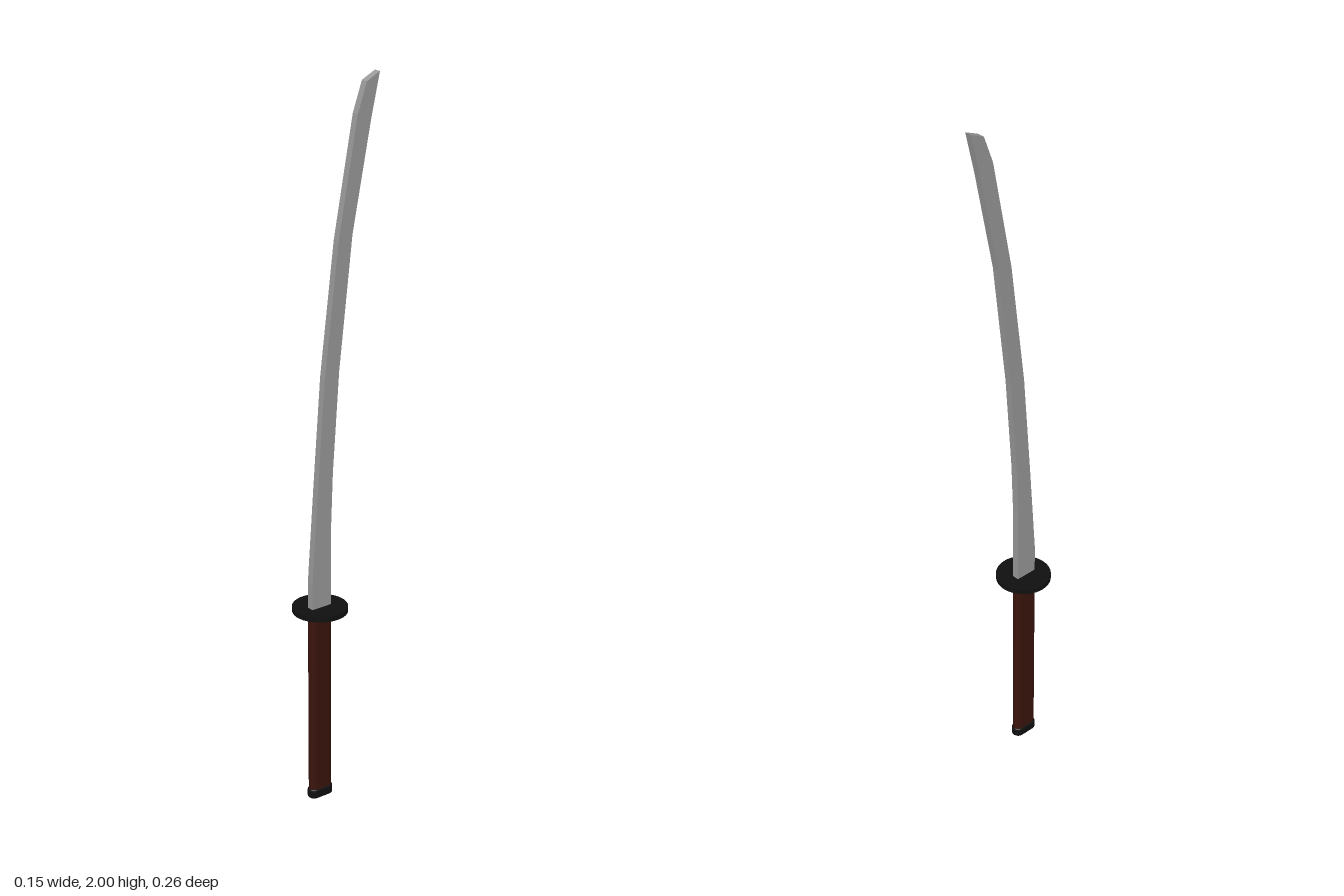
import * as THREE from 'three';

const material = (color) => new THREE.MeshStandardMaterial({ color });
const CENTRE_Z = 0.057;

// Upright bar with a stadium-shaped section: long along z, thin along x
function ovalBar(halfX, halfZ, y0, y1, bevel) {
  const r = halfX - bevel, s = halfZ - halfX;
  const shape = new THREE.Shape();
  shape.absarc(0, s, r, 0, Math.PI);
  shape.absarc(0, -s, r, Math.PI, Math.PI * 2);
  shape.closePath();
  const geometry = new THREE.ExtrudeGeometry(shape, {
    depth: y1 - y0 - 2 * bevel, curveSegments: 10,
    bevelEnabled: bevel > 0, bevelSize: bevel, bevelThickness: bevel, bevelSegments: 3,
  });
  geometry.rotateX(-Math.PI / 2);
  geometry.translate(0, y0 + bevel, CENTRE_Z);
  return geometry;
}

export function createModel() {
  const model = new THREE.Group();
  const black = material(0x101010);
  const add = (name, geometry, mat) => {
    const mesh = new THREE.Mesh(geometry, mat);
    mesh.name = name;
    model.add(mesh);
  };

  // Curved blade outline as (z, y): up the front edge, down the back edge
  const outline = [
    [0.088, 0.56], [0.088, 0.65], [0.069, 0.91], [0.045, 1.22], [0, 1.58],
    [-0.061, 1.9], [-0.09, 1.98], [-0.132, 2],
    [-0.104, 1.88], [-0.045, 1.59], [-0.002, 1.23], [0.019, 0.95], [0.025, 0.8], [0.025, 0.56],
  ];
  const blade = new THREE.ExtrudeGeometry(
    new THREE.Shape(outline.map(([z, y]) => new THREE.Vector2(-z, y))),
    { depth: 0.02, bevelEnabled: false });
  blade.translate(0, 0, -0.01);
  blade.rotateY(Math.PI / 2);
  add('blade', blade, material(0x999999));

  // Round guard with a smaller collar beneath it
  for (const [name, radius, y0, y1] of [
    ['guard', 0.075, 0.559, 0.573],
    ['guardCollar', 0.048, 0.547, 0.559],
  ]) {
    const disc = new THREE.CylinderGeometry(radius, radius, y1 - y0, 48);
    disc.translate(0, (y0 + y1) / 2, CENTRE_Z - 0.002);
    add(name, disc, black);
  }

  // Grip and rounded pommel
  add('grip', ovalBar(0.015, 0.035, 0.02, 0.55, 0), material(0x3a140c));
  add('pommel', ovalBar(0.018, 0.038, 0, 0.028, 0.006), black);

  return model;
}
